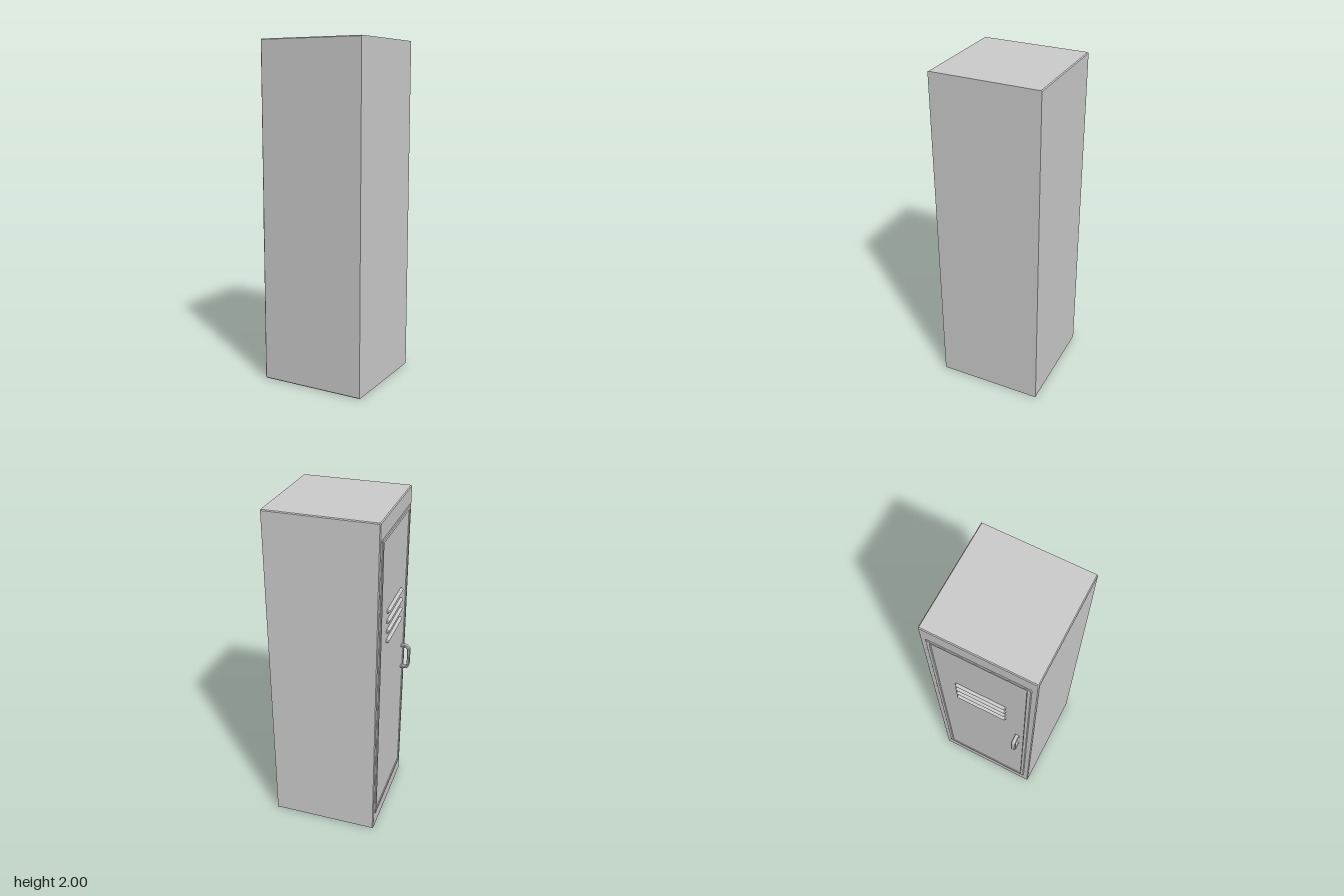
import * as THREE from 'three';

const material = new THREE.MeshStandardMaterial({ color: 0xcccccc, flatShading: true });

function addMesh(group, name, geometry) {
  geometry.computeVertexNormals();
  const mesh = new THREE.Mesh(geometry, material);
  mesh.name = name;
  group.add(mesh);
  return mesh;
}

// Rectangle with cut corners
function cutRect(path, w, h, c) {
  const x = w / 2, y = h / 2;
  path.setFromPoints([
    [-x + c, -y], [x - c, -y], [x, -y + c], [x, y - c],
    [x - c, y], [-x + c, y], [-x, y - c], [-x, -y + c],
  ].map(([a, b]) => new THREE.Vector2(a, b)));
  path.closePath();
  return path;
}

// Extrudes a shape drawn in (z, y) towards -x, from backX to frontX, with chamfered ends
function extrudeToDoor(shape, backX, frontX, bevel) {
  const geometry = new THREE.ExtrudeGeometry(shape, {
    depth: backX - frontX - 2 * bevel, bevelEnabled: true, bevelSegments: 1,
    bevelSize: bevel, bevelThickness: bevel, bevelOffset: -bevel,
  });
  return geometry.rotateY(-Math.PI / 2).translate(backX - bevel, 0, 0);
}

// Half-loop outline, open towards +x, with rounded outer corners
function handleShape(x0, x1, y0, y1, r, t) {
  const s = new THREE.Shape();
  s.moveTo(x1, y0);
  s.lineTo(x1, y0 + t);
  s.lineTo(x0 + r, y0 + t);
  s.absarc(x0 + r, y0 + r, r - t, -Math.PI / 2, -Math.PI, true);
  s.lineTo(x0 + t, y1 - r);
  s.absarc(x0 + r, y1 - r, r - t, Math.PI, Math.PI / 2, true);
  s.lineTo(x1, y1 - t);
  s.lineTo(x1, y1);
  s.lineTo(x0 + r, y1);
  s.absarc(x0 + r, y1 - r, r, Math.PI / 2, Math.PI, false);
  s.lineTo(x0, y0 + r);
  s.absarc(x0 + r, y0 + r, r, Math.PI, Math.PI * 1.5, false);
  return s;
}

export function createModel() {
  const locker = new THREE.Group();
  locker.name = 'locker';

  // Cabinet: chamfered around the door side, sharp flat back
  const depth = 0.636, height = 2, cut = 0.005, backX = 0.348;
  const body = extrudeToDoor(cutRect(new THREE.Shape(), depth, height, cut), backX, -0.29, cut);
  const p = body.attributes.position;
  for (let i = 0; i < p.count; i++) {
    if (p.getX(i) > backX - 0.001) {
      p.setY(i, p.getY(i) * (height / 2) / (height / 2 - cut));
      p.setZ(i, p.getZ(i) * (depth / 2) / (depth / 2 - cut));
    }
  }
  addMesh(locker, 'cabinet', body).position.y = 1;

  // Door: raised rim around a flat panel
  const door = new THREE.Group();
  door.name = 'door';
  locker.add(door);
  const rim = cutRect(new THREE.Shape(), 0.572, 1.8, 0.004);
  rim.holes.push(cutRect(new THREE.Path(), 0.522, 1.75, 0.004));
  addMesh(door, 'doorRim', extrudeToDoor(rim, -0.28, -0.296, 0.004)).position.y = 1;
  const panel = new THREE.BoxGeometry(0.01, 1.76, 0.53);
  addMesh(door, 'doorPanel', panel).position.set(-0.286, 1, 0);

  // Four half-round vent louvres
  const louvre = new THREE.Shape();
  louvre.moveTo(-0.285, 0.011);
  louvre.lineTo(-0.296, 0.011);
  louvre.absarc(-0.296, 0, 0.011, Math.PI / 2, Math.PI * 1.5, false);
  louvre.lineTo(-0.285, -0.011);
  for (let i = 0; i < 4; i++) {
    const geometry = new THREE.ExtrudeGeometry(louvre, {
      depth: 0.292, curveSegments: 8, bevelSegments: 1,
      bevelSize: 0.006, bevelThickness: 0.006, bevelOffset: -0.006,
    });
    addMesh(door, 'ventLouvre', geometry).position.set(0, 1.253 + i * 0.062, -0.148);
  }

  // Pull handle near one edge of the door
  const handle = new THREE.ExtrudeGeometry(
    handleShape(-0.348, -0.288, 0.87, 1.035, 0.034, 0.016), {
      depth: 0.019, curveSegments: 6, bevelSegments: 1,
      bevelSize: 0.004, bevelThickness: 0.004, bevelOffset: -0.004,
    });
  addMesh(door, 'handle', handle).position.z = 0.214;

  return locker;
}
